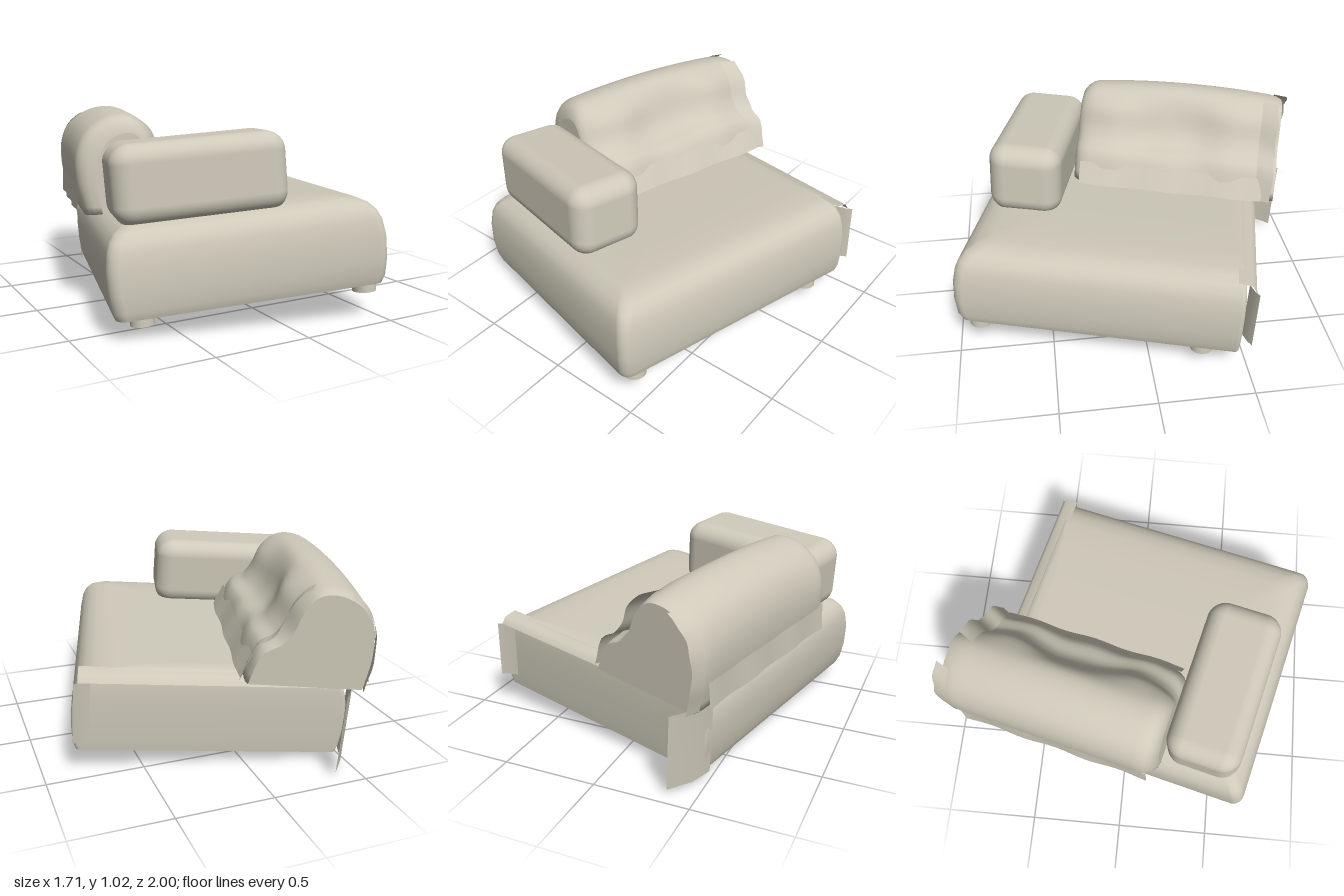
import * as THREE from 'three';
import { RoundedBoxGeometry } from 'three/addons/geometries/RoundedBoxGeometry.js';

const fabric = new THREE.MeshStandardMaterial({ color: 0xcec9b9, side: THREE.DoubleSide });
fabric.name = 'warm grey fabric';

// Surface through rings of [x, y, z] points; closed rings get flat end caps
function loft(rings, closed) {
  const n = rings[0].length;
  const pos = rings.flat(2);
  const index = [];
  for (let i = 0; i < rings.length - 1; i++) {
    for (let j = 0; j < (closed ? n : n - 1); j++) {
      const k = (j + 1) % n;
      const a = i * n + j, b = i * n + k, c = b + n, d = a + n;
      index.push(a, b, c, a, c, d);
    }
  }
  if (closed) {
    [rings[0], rings[rings.length - 1]].forEach((ring, end) => {
      const start = pos.length / 3;
      const mid = [0, 1, 2].map((axis) => ring.reduce((s, p) => s + p[axis], 0) / n);
      pos.push(...ring.flat(), ...mid);
      for (let j = 0; j < n; j++) {
        const a = start + j, b = start + (j + 1) % n;
        index.push(start + n, ...(end ? [a, b] : [b, a]));
      }
    });
  }
  const g = new THREE.BufferGeometry();
  g.setAttribute('position', new THREE.Float32BufferAttribute(pos, 3));
  g.setIndex(index);
  g.computeVertexNormals();
  return g;
}

// Rounded rectangle at height y
function roundedRing(x0, x1, z0, z1, r, y) {
  const ring = [];
  const corners = [[x1 - r, z0 + r], [x0 + r, z0 + r], [x0 + r, z1 - r], [x1 - r, z1 - r]];
  corners.forEach(([cx, cz], q) => {
    const rad = q < 2 ? r * 0.4 : r; // rear corners are tighter
    const sx = Math.sign(cx), sz = Math.sign(cz);
    for (let s = 0; s <= 5; s++) {
      const t = (q + s / 5) * Math.PI / 2;
      ring.push([cx + sx * (r - rad) + rad * Math.cos(t), y, cz + sz * (r - rad) - rad * Math.sin(t)]);
    }
  });
  return ring;
}

// Pillow cross-section as [x, y], from back foot over the crest to front hem
const section = [
  [-0.70, 0.43], [-0.725, 0.60], [-0.71, 0.77], [-0.65, 0.88], [-0.53, 0.945], [-0.42, 0.94],
  [-0.34, 0.86], [-0.295, 0.74], [-0.25, 0.675], [-0.17, 0.62], [-0.11, 0.45],
];
const sectionCurve = new THREE.CatmullRomCurve3(section.map(([x, y]) => new THREE.Vector3(x, y, 0)));

// Softly creased pillow surface: t along the section, z along the length
function pillowPoint(t, z, scale = 1) {
  const p = sectionCurve.getPoint(t);
  const front = THREE.MathUtils.smoothstep(p.x, -0.42, -0.25);
  const rise = THREE.MathUtils.smoothstep(p.y, 0.5, 0.9);
  const x = p.x + front * rise * 0.04 * Math.sin(z * 9 + 1) + front * 0.006 * Math.sin(z * 19);
  const y = p.y - rise * 0.1 * (z + 0.35) ** 2 + front * rise * 0.02 * Math.sin(z * 8);
  return [-0.42 + (x + 0.42) * scale, 0.45 + (y - 0.45) * (0.4 + 0.6 * scale), z];
}

export function createModel() {
  const model = new THREE.Group();
  model.name = 'sofaModule';
  const sofa = new THREE.Group();
  sofa.name = 'tiltedSofa';
  model.add(sofa);

  const add = (name, geometry, x = 0, y = 0, z = 0) => {
    const mesh = new THREE.Mesh(geometry, fabric);
    mesh.name = name;
    mesh.position.set(x, y, z);
    sofa.add(mesh);
  };

  // Seat block: crisp foot, soft shoulders, nearly square back edge
  const seatProfile = [
    [0, 0.025], [0.04, 0.01], [0.13, 0], [0.24, 0], [0.32, 0.012], [0.365, 0.03],
    [0.40, 0.06], [0.425, 0.105], [0.438, 0.17], [0.444, 0.30], [0.446, 0.5],
  ];
  add('seat', loft(seatProfile.map(([y, i]) =>
    roundedRing(-0.675 + i, 0.71 - i, -0.735 + i * 0.2, 0.768 - i, 0.055, y)), true));

  // Hollow feet
  for (const x of [-0.52, 0.615]) {
    for (const z of [-0.54, 0.645]) {
      add('foot', new THREE.CylinderGeometry(0.06, 0.06, 0.05, 24, 1, true), x, -0.025, z);
      add('footInner', new THREE.CylinderGeometry(0.048, 0.048, 0.05, 24, 1, true), x, -0.025, z);
      const rim = new THREE.RingGeometry(0.048, 0.06, 24);
      rim.rotateX(Math.PI / 2);
      add('footRim', rim, x, -0.05, z);
    }
  }

  // Armrest bolster, softer and lower toward its ends
  const arm = new RoundedBoxGeometry(0.86, 0.40, 0.41, 8, 0.095);
  const ap = arm.attributes.position;
  for (let i = 0; i < ap.count; i++) {
    const end = Math.abs(ap.getX(i) / 0.43) ** 3;
    if (ap.getY(i) > 0) ap.setY(i, ap.getY(i) * (1 - 0.12 * end));
    ap.setZ(i, ap.getZ(i) * (1 - 0.08 * end));
  }
  add('armrest', arm, -0.175, 0.61, 0.495);

  // Back pillow
  const stations = [[-0.87, 0.95], [-0.84, 0.985]];
  for (let i = 0; i <= 30; i++) stations.push([-0.80 + i * 1.01 / 30, 1]);
  stations.push([0.24, 0.975], [0.265, 0.92], [0.285, 0.83], [0.293, 0.7]);
  const rings = stations.map(([z, s]) =>
    Array.from({ length: 41 }, (_, j) => pillowPoint(1 - j / 40, z, s)));
  add('backPillow', loft(rings, true));

  // Loose cover edges at the far end of the pillow
  const coverEdge = (name, t0, t1, z0, z1, flare) => {
    const rows = [0, 0.5, 1].map((f) => Array.from({ length: 17 }, (_, j) => {
      const t = t0 + (t1 - t0) * j / 16;
      const [x, y] = pillowPoint(t, z0);
      const ripple = 0.005 * Math.sin(j * 1.3);
      return [x + flare * f, y + 0.004, z0 + (z1 - z0) * f + ripple * f];
    }));
    add(name, loft(rows, false));
  };
  coverEdge('rearCoverEdge', 0, 0.36, -0.83, -0.91, 0.02);
  coverEdge('frontCoverEdge', 0.5, 1, -0.76, -0.85, 0.035);

  // Flared hems along the pillow foot
  const hem = (name, upper, lower) => {
    const rows = [upper, lower].map(([x, y], r) => Array.from({ length: 25 }, (_, j) => {
      const z = -0.80 + j * 1.05 / 24;
      return [x + r * 0.005 * Math.sin(z * 17), y, z];
    }));
    add(name, loft(rows, false));
  };
  hem('backHem', [-0.722, 0.59], [-0.735, 0.44]);
  hem('frontHem', [-0.145, 0.57], [-0.09, 0.452]);

  // Seat cover lip hanging over the rear edge
  add('seatRearLip', loft([[0.437, -0.68], [0.425, -0.75], [0.39, -0.775]].map(([y, z]) =>
    [-0.64, -0.2, 0.25, 0.68].map((x) => [x, y, z])), false));

  // Loose corner flaps on the rear of the seat
  const flap = (name, path, y0, y1) => add(name, loft(
    [y0, y1].map((y) => path.map(([x, z]) => [x, y, z])), false));
  flap('rearCornerFlap', [[0.62, -0.74], [0.67, -0.765], [0.70, -0.79]], 0.07, 0.39);
  flap('sideCornerFlap', [[-0.675, -0.68], [-0.66, -0.80], [-0.60, -0.925]], 0, 0.41);

  // Whole sofa is turned and leans a little
  const u = new THREE.Vector3(0.967, 0.07, 0.245).normalize();
  const up = new THREE.Vector3(-0.247, 0.045, 0.968).cross(u).normalize();
  const v = new THREE.Vector3().crossVectors(u, up);
  sofa.quaternion.setFromRotationMatrix(new THREE.Matrix4().makeBasis(u, up, v));
  sofa.position.set(-0.01, 0.113, 0.1);
  return model;
}
